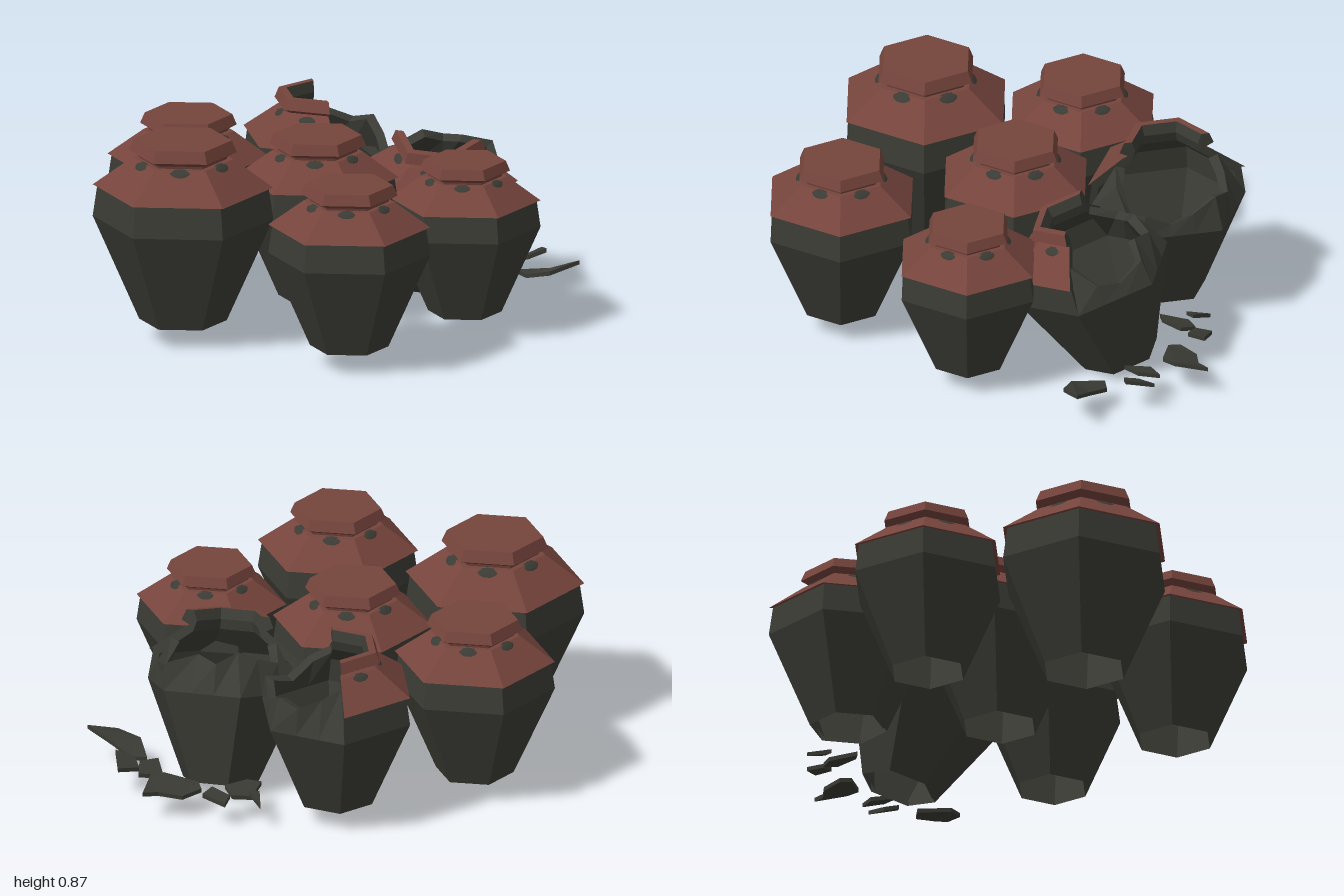
import * as THREE from 'three';

const flat = (name, color) => {
  const m = new THREE.MeshStandardMaterial({ color, side: THREE.DoubleSide, flatShading: true });
  m.name = name;
  return m;
};
const red = flat('red glaze', 0x75443c);
const clay = flat('dark clay', 0x3a3b34);

const R = 0.34; // shoulder radius of the standard jar
const v2 = (pts) => pts.map(([r, h]) => new THREE.Vector2(r, h));

function add(parent, name, geometry, material) {
  const mesh = new THREE.Mesh(geometry, material);
  mesh.name = name;
  parent.add(mesh);
  return mesh;
}

function faceted(geometry) {
  const g = geometry.toNonIndexed();
  g.computeVertexNormals();
  return g;
}

// Six-sided turned surface with corners on the x axis; half = only the +z side
const hexLathe = (pts, half = false) => faceted(half
  ? new THREE.LatheGeometry(v2(pts), 3, -Math.PI / 2, Math.PI)
  : new THREE.LatheGeometry(v2(pts), 6, Math.PI / 2, Math.PI * 2));

// Dark blotches where the neck shows through the middle of each roof face
function addBlotches(jar, count) {
  for (let k = 0; k < count; k++) {
    const pivot = new THREE.Group();
    pivot.name = 'neckBlotch';
    pivot.rotation.y = -(k + 0.5) * Math.PI / 3;
    const spot = add(pivot, 'blotch', new THREE.IcosahedronGeometry(1, 1), clay);
    spot.scale.set(0.024, 0.006, 0.045);
    spot.position.set(0.174, 0.62, 0);
    spot.rotation.z = -0.69;
    jar.add(pivot);
  }
}

function sealedJar(x, z, scale) {
  const jar = new THREE.Group();
  jar.name = 'sealedJar';
  add(jar, 'body', hexLathe([[0.165, 0], [R, 0.4], [0.322, 0.525]]), clay);
  add(jar, 'roof', hexLathe([[0.3, 0.525], [R, 0.523], [0.19, 0.632], [0.165, 0.632]]), red);
  add(jar, 'lid', hexLathe([[0.165, 0.63], [0.168, 0.642], [0.203, 0.66], [0.184, 0.705], [0, 0.705]]), red);
  addBlotches(jar, 6);
  jar.position.set(x, 0.09, z);
  jar.scale.setScalar(scale);
  return jar;
}

// Thick jagged wall around the broken (-z) half
function jaggedWall(tops) {
  const n = tops.length - 1;
  const g = new THREE.PlaneGeometry(1, 1, n, 3);
  const p = g.attributes.position;
  for (let i = 0; i <= n; i++) {
    const a = Math.PI + Math.PI * i / n;
    // distance to a hexagon's edge in this direction
    const local = (a % (Math.PI / 3)) - Math.PI / 6;
    const hex = Math.cos(Math.PI / 6) / Math.cos(local);
    const h = tops[i];
    const rTop = 0.325 - Math.max(0, h - 0.525) * 1.4;
    const rows = [[R, 0.4], [rTop, h], [rTop - 0.04, h - 0.015], [0.305, 0.4]];
    rows.forEach(([r, y], j) =>
      p.setXYZ(j * (n + 1) + i, r * hex * Math.cos(a), y, r * hex * Math.sin(a)));
  }
  return faceted(g);
}

function brokenJar(tops) {
  const jar = new THREE.Group();
  jar.name = 'brokenJar';
  add(jar, 'body', hexLathe([[0.165, 0], [R, 0.4]]), clay);
  add(jar, 'innerWall', hexLathe([[0.15, 0.01], [0.305, 0.4]]), clay);
  add(jar, 'brokenWall', jaggedWall(tops), clay);

  // Surviving half of the shoulder, roof and lip
  add(jar, 'shoulder', hexLathe([[R, 0.4], [0.322, 0.525]], true), clay);
  const outer = [[0.322, 0.525], [R, 0.523], [0.19, 0.632], [0.168, 0.642], [0.203, 0.66], [0.184, 0.705], [0.15, 0.705]];
  const inner = [[0.15, 0.705], [0.135, 0.66], [0.15, 0.615], [0.295, 0.505], [0.305, 0.4]];
  add(jar, 'halfRoof', hexLathe(outer, true), red);
  add(jar, 'halfLining', hexLathe(inner, true), clay);
  const section = new THREE.ShapeGeometry(new THREE.Shape(v2([[R, 0.4], ...outer, ...inner.slice(1)])));
  for (const turn of [0, Math.PI]) add(jar, 'brokenEdge', section, clay).rotation.y = turn;
  addBlotches(jar, 3);
  return jar;
}

// Curved clay splinter; outline in x, z, rising towards +x by slope and curve
function shard(points, y, slope, curve) {
  const shape = new THREE.Shape(points.map(([x, z]) => new THREE.Vector2(x, -z)));
  const g = new THREE.ExtrudeGeometry(shape, { depth: 0.018, bevelEnabled: false });
  g.rotateX(-Math.PI / 2);
  const minX = Math.min(...points.map((q) => q[0]));
  const minZ = Math.min(...points.map((q) => q[1]));
  const p = g.attributes.position;
  for (let i = 0; i < p.count; i++) {
    const d = p.getX(i) - minX;
    p.setY(i, p.getY(i) + y + slope * d + curve * d * d + 0.15 * (p.getZ(i) - minZ));
  }
  g.computeVertexNormals();
  return g;
}

export function createModel() {
  const model = new THREE.Group();
  model.name = 'jarCluster';

  const jars = [
    [-0.64, -0.295, 1], [-0.62, 0.36, 1.115], [-0.08, -0.027, 1], [0.1, 0.697, 1], [0.55, 0.157, 0.935],
  ];
  for (const [x, z, s] of jars) model.add(sealedJar(x, z, s));

  // Upright broken jar
  const upright = brokenJar([0.6, 0.56, 0.52, 0.545, 0.49, 0.45, 0.5, 0.47, 0.55, 0.6]);
  upright.position.set(-0.11, 0.09, -0.66);
  upright.rotation.y = -75 * Math.PI / 180;
  model.add(upright);

  // Broken jar leaning forward
  const leaning = brokenJar([0.6, 0.53, 0.55, 0.58, 0.53, 0.56, 0.52, 0.46, 0.49, 0.58]);
  leaning.position.set(0.41, 0.05, -0.48);
  leaning.rotation.set(0.29, -10 * Math.PI / 180, 0);
  model.add(leaning);

  // Scattered splinters
  const shards = [
    [[[0.18, -0.85], [0.24, -0.78], [0.2, -0.75]], 0.1, 0.3, 0],
    [[[0.21, -0.64], [0.23, -0.76], [0.31, -0.79], [0.35, -0.73], [0.27, -0.65]], 0.09, 0.2, 0],
    [[[0.32, -0.79], [0.33, -0.86], [0.43, -0.83], [0.4, -0.76]], 0.1, 0.2, 0],
    [[[0.45, -0.73], [0.52, -0.8], [0.62, -0.81], [0.68, -0.85], [0.67, -0.71], [0.62, -0.66], [0.47, -0.68]], 0.085, 0, 0.7],
    [[[0.63, -0.61], [0.73, -0.65], [0.74, -0.56], [0.67, -0.5]], 0.09, 0.25, 0],
    [[[0.74, -0.56], [0.82, -0.63], [0.85, -0.51], [0.77, -0.5]], 0.09, 0.4, 0],
    [[[0.73, -0.42], [0.8, -0.43], [0.88, -0.36], [1, -0.31], [0.88, -0.25], [0.78, -0.28]], 0.082, 0, 0.85],
  ];
  for (const [outline, ...rest] of shards) add(model, 'shard', shard(outline, ...rest), clay);
  return model;
}
